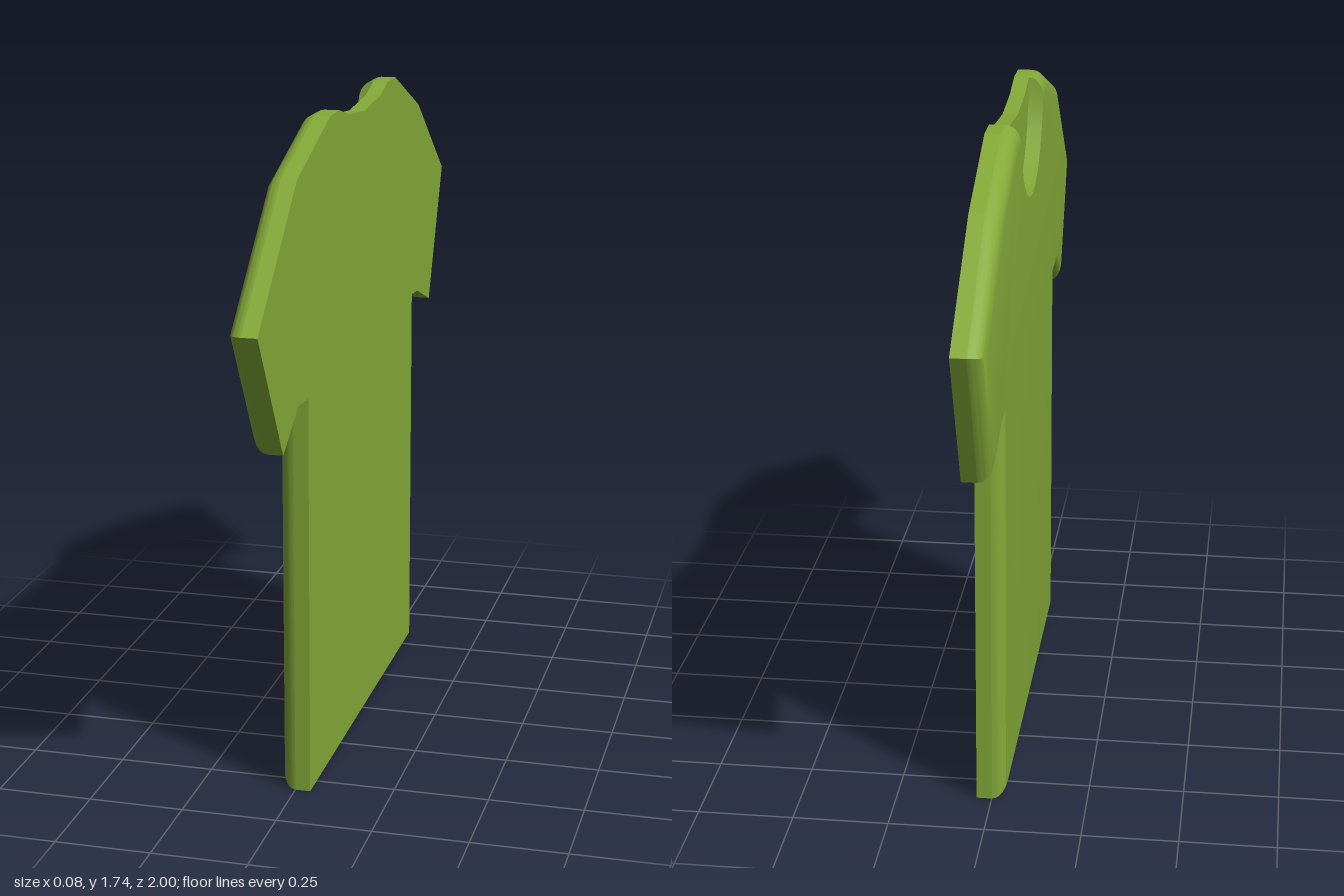
import * as THREE from 'three';
import { toCreasedNormals } from 'three/addons/utils/BufferGeometryUtils.js';

const HALF = 0.04;    // thickness of each panel
const ROUND = 0.05;   // how far the rounding reaches in from the outline
const STEPS = 6;

const vec = ([u, v]) => new THREE.Vector2(u, v);

// Outline without neckline, counter-clockwise from one neck point to the other
const body = [
  [-0.275, 1.735], [-0.365, 1.735], [-0.665, 1.615], [-1, 1.375], [-0.83, 1.0],
  [-0.665, 1.06], [-0.595, 1.065], [-0.595, 0], [0.565, 0], [0.565, 1.065],
  [0.655, 1.07], [0.795, 0.985], [1, 1.325], [0.655, 1.63], [0.34, 1.735], [0.25, 1.735],
].map(vec);

// Shallow neckline of the back panel
const backNeck = [[0.155, 1.71], [-0.005, 1.695], [-0.19, 1.71]].map(vec);

// Deep scooped neckline of the front panel
const scoop = [];
for (let i = 1; i < 12; i++) {
  const a = (i / 12) * Math.PI;
  scoop.push(new THREE.Vector2(-0.0125 + 0.2625 * Math.cos(a), 1.735 - 0.25 * Math.sin(a)));
}

// Move the body edges inward by d; neckline edges stay in place
function inset(points, d) {
  const n = points.length;
  const edge = (i) => {
    const dir = points[(i + 1) % n].clone().sub(points[i]).normalize();
    return { x: -dir.y, y: dir.x, d: i < body.length - 1 ? d : 0 };
  };
  return points.map((p, i) => {
    const a = edge((i + n - 1) % n), b = edge(i);
    const det = a.x * b.y - a.y * b.x;
    if (Math.abs(det) < 1e-5) return new THREE.Vector2(p.x + b.x * b.d, p.y + b.y * b.d);
    return new THREE.Vector2(
      p.x + (a.d * b.y - b.d * a.y) / det,
      p.y + (a.x * b.d - b.x * a.d) / det,
    );
  });
}

// Front panel: stacked outlines following a quarter round, closed by a flat face
function roundedPanel(points) {
  const n = points.length, pos = [], index = [];
  let ring;
  for (let s = 0; s <= STEPS; s++) {
    const t = (s / STEPS) * Math.PI / 2;
    ring = inset(points, ROUND * (1 - Math.cos(t)));
    ring.forEach((p) => pos.push(p.x, p.y, HALF * Math.sin(t)));
    if (s === 0) continue;
    for (let j = 0; j < n; j++) {
      const k = (j + 1) % n, lo = (s - 1) * n, hi = s * n;
      index.push(lo + j, lo + k, hi + k, lo + j, hi + k, hi + j);
    }
  }
  for (const f of THREE.ShapeUtils.triangulateShape(ring, [])) {
    index.push(...f.map((i) => i + STEPS * n));
  }
  const geo = new THREE.BufferGeometry();
  geo.setAttribute('position', new THREE.Float32BufferAttribute(pos, 3));
  geo.setIndex(index);
  return toCreasedNormals(geo, 0.6);
}

export function createModel() {
  const group = new THREE.Group();
  group.name = 'tShirt';
  const material = new THREE.MeshStandardMaterial({ color: 0x84aa38, side: THREE.DoubleSide });

  const add = (name, geo) => {
    geo.rotateY(-Math.PI / 2); // panels are drawn flat, then turned to face -x
    const mesh = new THREE.Mesh(geo, material);
    mesh.name = name;
    group.add(mesh);
  };

  // Back panel, flat with square edges
  const back = new THREE.ExtrudeGeometry(new THREE.Shape([...body, ...backNeck]), {
    depth: HALF, bevelEnabled: false,
  });
  add('backPanel', back.translate(0, 0, -HALF));

  // Front panel, rounded edges and scooped neck
  add('frontPanel', roundedPanel([...body, ...scoop]));

  return group;
}
